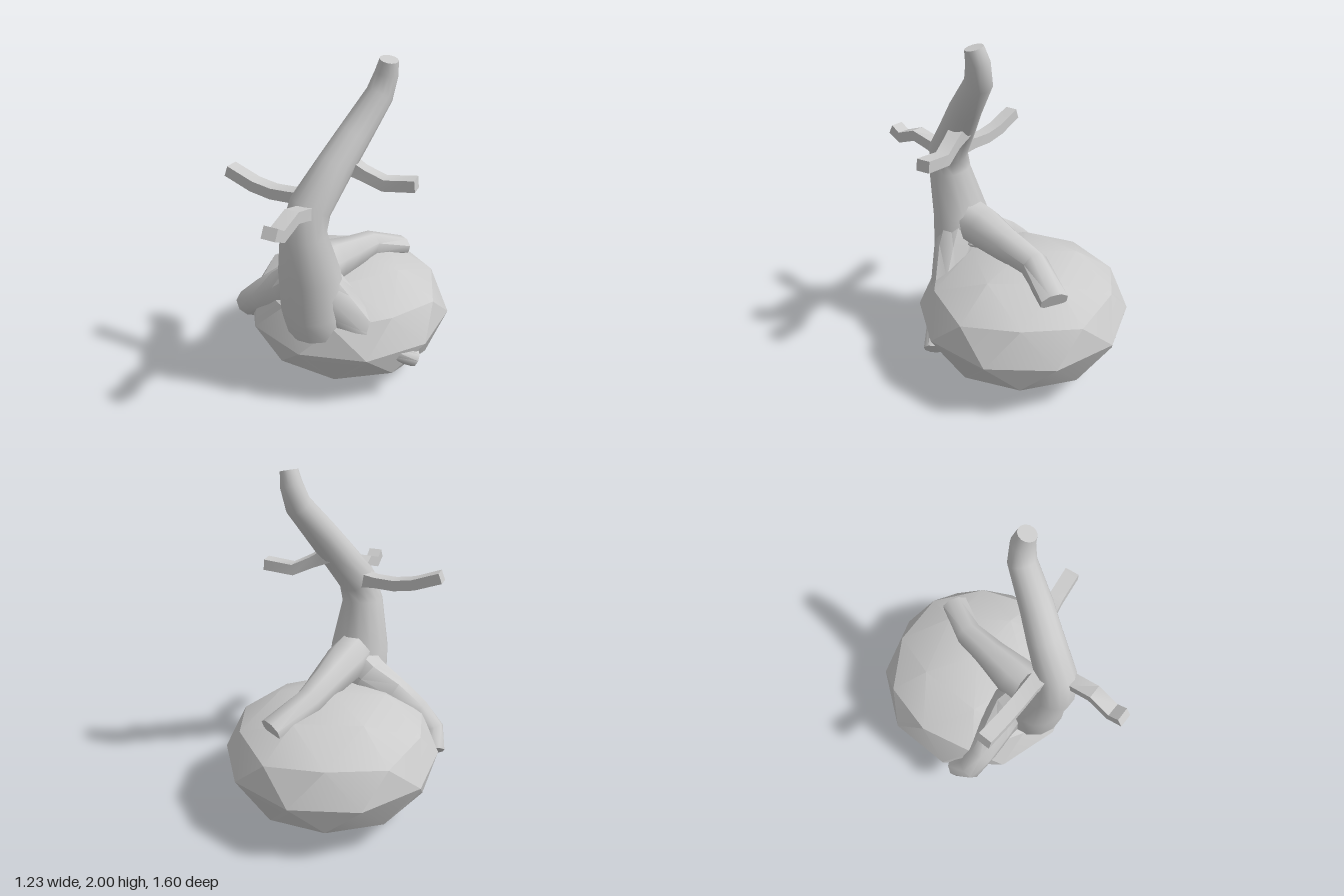
import * as THREE from 'three';
import { toCreasedNormals, mergeVertices } from 'three/addons/utils/BufferGeometryUtils.js';

const material = new THREE.MeshStandardMaterial({ color: 0xcccccc });

// Closed limb lofted through points [x, y, z, half width, half height].
function limb(name, points, sides, ref, crease) {
  const centres = points.map(([x, y, z]) => new THREE.Vector3(x, y, z));
  const last = points.length - 1;
  const pos = [], index = [];
  centres.forEach((c, i) => {
    const t = centres[Math.min(i + 1, last)].clone().sub(centres[Math.max(i - 1, 0)]).normalize();
    const u = ref.clone().cross(t).normalize();
    const v = t.clone().cross(u);
    const [, , , w, h = w] = points[i];
    // four-sided limbs keep their faces square to the width and height
    const k = sides === 4 ? Math.SQRT2 : 1;
    for (let j = 0; j < sides; j++) {
      const a = ((j + 0.5) / sides) * Math.PI * 2;
      const p = c.clone().addScaledVector(u, Math.cos(a) * w * k).addScaledVector(v, Math.sin(a) * h * k);
      pos.push(p.x, p.y, p.z);
    }
  });
  for (let i = 0; i < last; i++) {
    for (let j = 0; j < sides; j++) {
      const a = i * sides + j, b = i * sides + ((j + 1) % sides);
      index.push(a, b, a + sides, b, b + sides, a + sides);
    }
  }
  // end caps
  const n = points.length * sides;
  pos.push(...centres[0].toArray(), ...centres[last].toArray());
  for (let j = 0; j < sides; j++) {
    const k = (j + 1) % sides;
    index.push(n, k, j, n + 1, last * sides + j, last * sides + k);
  }
  const geo = new THREE.BufferGeometry();
  geo.setAttribute('position', new THREE.Float32BufferAttribute(pos, 3));
  geo.setIndex(index);
  const mesh = new THREE.Mesh(toCreasedNormals(geo, crease), material);
  mesh.name = name;
  return mesh;
}

export function createModel() {
  const group = new THREE.Group();
  group.name = 'treeOnBoulder';
  const X = new THREE.Vector3(1, 0, 0), Y = new THREE.Vector3(0, 1, 0);

  // Boulder: faceted, squashed ball standing on its pole
  const ball = new THREE.IcosahedronGeometry(1, 1);
  ball.rotateZ(-Math.atan(2 / (1 + Math.sqrt(5))));
  ball.scale(0.637, 0.382, 0.627);
  ball.translate(0, 0.385, -0.165);
  const boulder = new THREE.Mesh(toCreasedNormals(ball, 0.42), material);
  boulder.name = 'boulder';
  group.add(boulder);

  // Trunk: broad foot, leaning back and to its left as it rises
  group.add(limb('trunk', [
    [0.02, 0.5, 0.27, 0.17, 0.19],
    [0.01, 0.62, 0.3, 0.175, 0.19],
    [0, 0.87, 0.32, 0.16, 0.18],
    [0.01, 1.15, 0.39, 0.125],
    [0.04, 1.29, 0.365, 0.115],
    [0.11, 1.48, 0.22, 0.1],
    [0.165, 1.62, 0.115, 0.09],
    [0.235, 1.81, -0.04, 0.075],
    [0.262, 1.92, -0.06, 0.063],
    [0.278, 1.995, -0.05, 0.05],
  ], 14, X, 0.85));

  // Roots gripping the boulder
  group.add(limb('rightRoot', [
    [0.03, 0.8, 0.26, 0.15, 0.15],
    [-0.1, 0.71, 0.19, 0.13, 0.15],
    [-0.25, 0.62, 0.19, 0.11, 0.13],
    [-0.41, 0.52, 0.2, 0.09, 0.1],
    [-0.52, 0.43, 0.19, 0.08, 0.08],
    [-0.56, 0.34, 0.1, 0.07, 0.07],
  ], 8, Y, 0.85));
  group.add(limb('backRoot', [
    [0, 0.85, 0.3, 0.13, 0.14],
    [0.02, 0.83, 0.12, 0.13, 0.13],
    [0.05, 0.79, -0.08, 0.1, 0.11],
    [0.08, 0.76, -0.3, 0.085, 0.085],
    [0.21, 0.68, -0.53, 0.085, 0.055],
  ], 8, Y, 0.85));
  // this one dives through the boulder and its tip comes out at the side
  group.add(limb('leftRoot', [
    [0, 0.85, 0.3, 0.12, 0.13],
    [0.13, 0.68, 0.27, 0.12, 0.13],
    [0.25, 0.52, 0.23, 0.09, 0.11],
    [0.38, 0.4, 0.17, 0.065, 0.08],
    [0.56, 0.285, 0.06, 0.055, 0.05],
  ], 8, Y, 0.85));

  // Square-cut twigs
  const twigs = {
    rightTwig: [[0, 1.31, 0.32], [-0.1, 1.305, 0.31], [-0.22, 1.3, 0.31], [-0.34, 1.32, 0.31], [-0.5, 1.38, 0.31]],
    frontTwig: [[0.05, 1.27, 0.38], [0.06, 1.3, 0.47], [0.065, 1.335, 0.59], [0.06, 1.29, 0.72], [0.06, 1.33, 0.79]],
    leftTwig: [[0.12, 1.5, 0.17], [0.24, 1.44, 0.15], [0.35, 1.39, 0.12], [0.52, 1.41, 0.1]],
  };
  for (const [name, path] of Object.entries(twigs)) {
    group.add(limb(name, path.map((p, i) => [...p, i ? 0.04 : 0.05, i ? 0.032 : 0.045]), 4, Y, 0.6));
  }
  return group;
}
